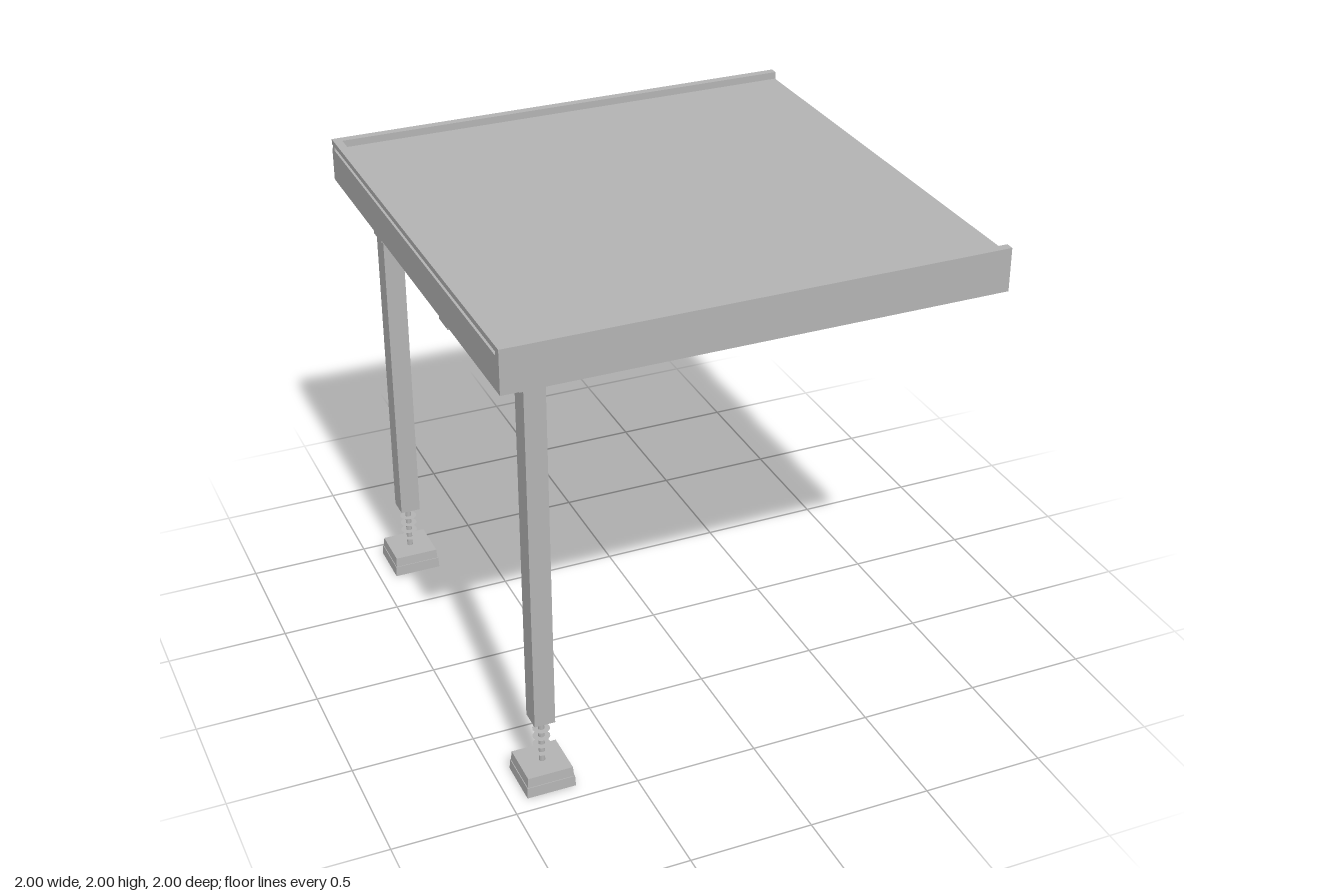
import * as THREE from 'three';

export function createModel() {
  const model = new THREE.Group();
  model.name = 'platform';
  const steel = new THREE.MeshStandardMaterial({ color: 0xb3b3b3, flatShading: true, side: THREE.DoubleSide });
  steel.name = 'grey steel';

  const add = (name, geometry, parent = model) => {
    const mesh = new THREE.Mesh(geometry, steel);
    mesh.name = name;
    parent.add(mesh);
    return mesh;
  };
  // Box given by its minimum and maximum corners
  const box = (name, x0, x1, y0, y1, z0, z1, parent) => {
    const mesh = add(name, new THREE.BoxGeometry(x1 - x0, y1 - y0, z1 - z0), parent);
    mesh.position.set((x0 + x1) / 2, (y0 + y1) / 2, (z0 + z1) / 2);
    return mesh;
  };

  // Edge rails: channel with inward bottom flange and raised top lip
  const rail = (name, length, grooved, angle, x, z) => {
    const points = [[0, 1.823], [0.11, 1.823], [0.11, 1.832], [0.012, 1.832], [0.012, 1.955], [0.035, 1.955], [0.035, 2], [0, 2]];
    if (grooved) points.push([0, 1.978], [0.011, 1.978], [0.011, 1.962], [0, 1.962]);
    const shape = new THREE.Shape(points.map(([u, v]) => new THREE.Vector2(u, v)));
    const geometry = new THREE.ExtrudeGeometry(shape, { depth: length, bevelEnabled: false });
    geometry.translate(0, 0, -length / 2);
    const mesh = add(name, geometry);
    mesh.rotation.y = angle;
    mesh.position.set(x, 0, z);
  };
  rail('frontRail', 2, false, Math.PI / 2, 0, 1);
  rail('backRail', 2, true, -Math.PI / 2, 0, -0.995);
  rail('sideRail', 1.98, true, 0, -1, 0);

  // Deck panel and the beams below it
  box('deckPanel', -0.98, 0.998, 1.957, 1.97, -0.98, 0.98);
  box('middleBeam', -0.025, 0.025, 1.89, 1.957, -0.89, 0.89);
  box('openEdgeBeam', 0.96, 0.995, 1.89, 1.957, -0.89, 0.89);

  // Connector plates under the rails
  for (const z of [-0.4, 0.4]) box('connectorPlate', -1, -0.9, 1.812, 1.826, z - 0.05, z + 0.05);
  box('connectorPlate', 0.55, 0.65, 1.812, 1.826, -1, -0.9);

  // Square block narrowing towards its top
  const taperedBlock = (name, bottom, top, y0, y1, parent) => {
    const geometry = new THREE.CylinderGeometry(top / Math.SQRT2, bottom / Math.SQRT2, y1 - y0, 4);
    geometry.rotateY(Math.PI / 4);
    add(name, geometry, parent).position.y = (y0 + y1) / 2;
  };

  // Legs with adjustable feet
  for (const side of [-1, 1]) {
    const leg = new THREE.Group();
    leg.name = 'leg';
    leg.position.set(-0.83, 0, side * 0.83);
    model.add(leg);

    taperedBlock('footBase', 0.2, 0.196, 0, 0.045, leg);
    taperedBlock('footTop', 0.19, 0.184, 0.045, 0.086, leg);
    add('footScrew', new THREE.CylinderGeometry(0.0125, 0.0125, 0.21, 12), leg).position.y = 0.185;
    for (let i = 0; i < 4; i++) {
      const thread = add('screwThread', new THREE.CircleGeometry(0.035, 12), leg);
      thread.rotation.x = -Math.PI / 2;
      thread.position.y = 0.13 + i * 0.036;
    }
    box('legPost', -0.042, 0.042, 0.285, 1.81, -0.045, 0.045, leg);
    box('legCollar', -0.05, 0.05, 1.805, 1.82, -0.058, 0.058, leg);
    box('legFlange', -0.068, 0.05, 1.818, 1.835, -0.07, 0.07, leg);
    box('legSocket', -0.055, 0.055, 1.835, 1.955, -0.058, 0.058, leg);
    box('mountingPlate', -0.105, 0.105, 1.949, 1.957, -0.105, 0.105, leg);
    box('lockingClip', -0.08, -0.055, 1.785, 1.83, 0.048, 0.11, leg);

    // Thin diagonal brace across the corner, with tapered ends
    const outline = new THREE.Shape([[-0.23, -0.01], [-0.15, -0.03], [0.15, -0.03], [0.23, -0.01],
      [0.23, 0.01], [0.15, 0.03], [-0.15, 0.03], [-0.23, 0.01]].map(([x, y]) => new THREE.Vector2(x, y)));
    const geometry = new THREE.ExtrudeGeometry(outline, { depth: 0.006, bevelEnabled: false });
    geometry.rotateX(-Math.PI / 2);
    const brace = add('cornerBrace', geometry, leg);
    brace.rotation.y = -side * Math.PI / 4;
    brace.position.set(0.03, 1.832, -side * 0.03);
  }
  return model;
}
